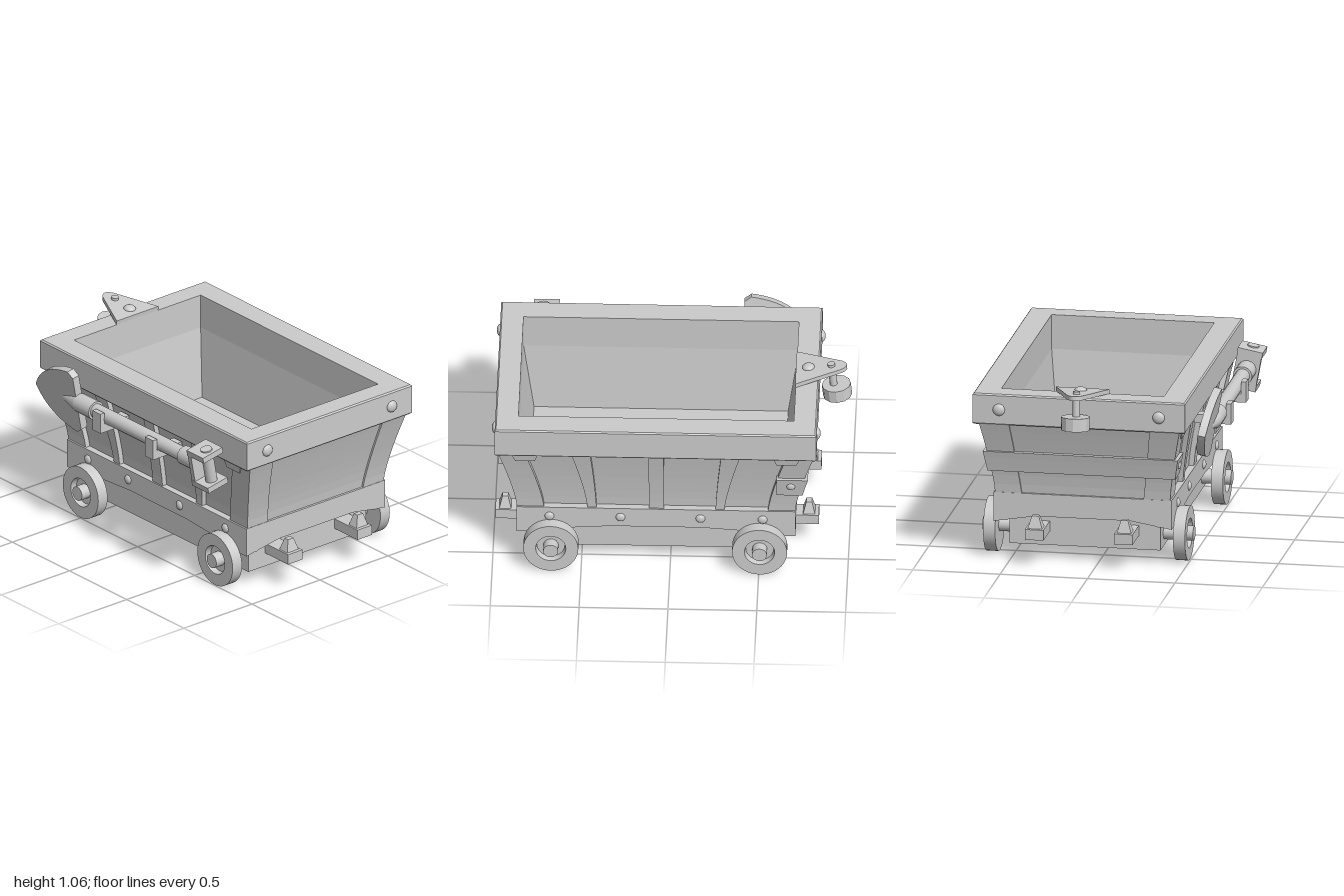
import * as THREE from 'three';

const mat = new THREE.MeshStandardMaterial({ color: 0xcccccc });
const flat = new THREE.MeshStandardMaterial({ color: 0xcccccc, flatShading: true });

function add(parent, name, geo, x = 0, y = 0, z = 0, m = mat) {
  const mesh = new THREE.Mesh(geo, m);
  mesh.name = name;
  mesh.position.set(x, y, z);
  parent.add(mesh);
  return mesh;
}
const box = (w, h, d) => new THREE.BoxGeometry(w, h, d);
const cyl = (r0, r1, h, n = 24) => new THREE.CylinderGeometry(r0, r1, h, n);
const dome = (r) => new THREE.SphereGeometry(r, 20, 8, 0, Math.PI * 2, 0, Math.PI / 2).scale(1, 0.6, 1);

// Skin of stacked rectangles, each [y, x0, x1, z0, z1]
function loft(rects, caps = true) {
  const pos = [];
  const rings = rects.map(([y, x0, x1, z0, z1]) => [[x1, y, z1], [x1, y, z0], [x0, y, z0], [x0, y, z1]]);
  const tri = (...pts) => pts.forEach((p) => pos.push(...p));
  for (let r = 0; r + 1 < rings.length; r++) {
    const a = rings[r], b = rings[r + 1];
    for (let i = 0; i < 4; i++) {
      const j = (i + 1) % 4;
      tri(a[i], a[j], b[j]);
      tri(a[i], b[j], b[i]);
    }
  }
  if (caps) {
    const a = rings[0], b = rings[rings.length - 1];
    tri(a[0], a[2], a[1]); tri(a[0], a[3], a[2]);
    tri(b[0], b[1], b[2]); tri(b[0], b[2], b[3]);
  }
  const g = new THREE.BufferGeometry();
  g.setAttribute('position', new THREE.Float32BufferAttribute(pos, 3));
  g.computeVertexNormals();
  return g;
}
const ring = (y, hx, hz) => [y, -hx, hx, -hz, hz];

// Flared wall: half width and half length at height y
const Y0 = 0.39, Y1 = 0.83;
const up = (y) => (y - Y0) / (Y1 - Y0);
const flare = (y) => Math.pow(Math.max(0, up(y)), 1.3);
const halfX = (y) => 0.47 + 0.075 * flare(y);
const halfZ = (y) => 0.77 + 0.112 * flare(y);
function levels(y0, y1, n, fn) {
  return Array.from({ length: n + 1 }, (_, i) => fn(y0 + (y1 - y0) * i / n));
}

// Board with an arched lower edge
function archedBoard(half, low, flatHalf, high, depth) {
  const s = new THREE.Shape();
  s.moveTo(-half, 0.395); s.lineTo(-half, low); s.lineTo(-flatHalf, high);
  s.lineTo(flatHalf, high); s.lineTo(half, low); s.lineTo(half, 0.395);
  return new THREE.ExtrudeGeometry(s, { depth, bevelEnabled: false });
}

function buildBody(cart) {
  // Tub with inner walls and floor
  add(cart, 'tub', loft([
    ...levels(Y0, Y1, 8, (y) => ring(y, halfX(y), halfZ(y))),
    ring(Y1, 0.465, 0.775), ring(0.8, 0.465, 0.775), ring(0.4, 0.425, 0.715),
  ]));
  // Heavy rim with a small bevel
  add(cart, 'rim', loft([
    ring(0.82, 0.465, 0.775), ring(0.82, 0.6, 0.897), ring(0.828, 0.607, 0.905), ring(0.992, 0.607, 0.905),
    ring(1, 0.6, 0.897), ring(1, 0.465, 0.775), ring(0.82, 0.465, 0.775),
  ], false));

  for (const sx of [1, -1]) {
    const span = (a, b) => (sx > 0 ? [a, b] : [-b, -a]);
    for (const sz of [1, -1]) {
      const spanZ = (a, b) => (sz > 0 ? [a, b] : [-b, -a]);
      // Corner posts, kept inside the wall thickness by two slabs
      add(cart, 'cornerPostSide', loft(levels(Y0, Y1, 8, (y) => [y,
        ...span(halfX(y) - 0.02, halfX(y) + 0.03), ...spanZ(halfZ(y) - 0.14, halfZ(y) + 0.012)])));
      add(cart, 'cornerPostEnd', loft(levels(Y0, Y1, 8, (y) => [y,
        ...span(0.348 + 0.055 * up(y), halfX(y) + 0.02), ...spanZ(halfZ(y) - 0.02, halfZ(y) + 0.012)])));
      // Tapered side ribs
      add(cart, 'sideRib', loft(levels(Y0, Y1, 8, (y) => [y,
        ...span(halfX(y) - 0.02, halfX(y) + 0.03),
        ...spanZ(0.335 + 0.035 * flare(y), 0.385 + 0.095 * flare(y))])));
      // Brackets under the rim
      add(cart, 'rimBracket', loft([
        [0.76, ...span(0.53, 0.567), ...spanZ(0.68, 0.79)],
        [0.825, ...span(0.53, 0.58), ...spanZ(0.66, 0.82)],
      ]));
      // Rim bolts
      add(cart, 'rimBolt', dome(0.035), sx * 0.457, 0.91, sz * 0.904).rotation.x = sz * Math.PI / 2;
    }
    add(cart, 'middleRib', loft(levels(Y0, Y1, 8, (y) => [y,
      ...span(halfX(y) - 0.02, halfX(y) + 0.03), -0.045, 0.04])));
    // Rear strap returns
    add(cart, 'strapReturn', loft(levels(0.53, 0.65, 3, (y) => [y,
      ...span(halfX(y) - 0.02, halfX(y) + 0.05), -halfZ(y) - 0.03, -0.68])));
    add(cart, 'strapBolt', dome(0.025), sx * (halfX(0.59) + 0.048), 0.6, -0.76).rotation.z = -sx * Math.PI / 2;
  }
  add(cart, 'rearStrap', loft(levels(0.53, 0.65, 3, (y) => [y,
    -halfX(y) - 0.05, halfX(y) + 0.05, -halfZ(y) - 0.03, -halfZ(y) + 0.01])));
}

function buildChassis(cart) {
  add(cart, 'chassis', box(0.864, 0.31, 1.42), 0, 0.235, 0);
  for (const s of [1, -1]) {
    // Arched frame boards
    const end = add(cart, 'frameEnd', archedBoard(0.51, 0.225, 0.27, 0.265, 0.08), 0, 0, s * 0.705);
    const side = add(cart, 'frameSide', archedBoard(0.785, 0.235, 0.25, 0.272, 0.08), s * 0.43, 0, 0);
    end.rotation.y = s > 0 ? 0 : Math.PI;
    side.rotation.y = s * Math.PI / 2;
    for (const z of [-0.6, -0.25, 0.2, 0.6]) {
      add(cart, 'frameBolt', dome(0.027), s * 0.509, 0.335, z).rotation.z = -s * Math.PI / 2;
    }
    // Buffers with tapered posts
    for (const x of [-0.256, 0.254]) {
      add(cart, 'buffer', box(0.106, 0.06, 0.25), x, 0.19, s * 0.785);
      add(cart, 'bufferPost', loft([
        [0.215, x - 0.043, x + 0.043, s * 0.855 - 0.035, s * 0.855 + 0.035],
        [0.29, x - 0.02, x + 0.02, s * 0.855 - 0.016, s * 0.855 + 0.016],
      ]));
    }
  }
}

function buildWheels(cart) {
  // Tyre with a recessed disc
  const profile = [[0, -0.033], [0.155, -0.033], [0.155, 0.035], [0.085, 0.035], [0.078, 0], [0, 0]];
  const pts = profile.flatMap(([r, y], i) => (i > 0 && i < 5 ? [[r, y], [r, y]] : [[r, y]]))
    .map(([r, y]) => new THREE.Vector2(r, y));
  const wheelGeo = new THREE.LatheGeometry(pts, 40);
  for (const z of [0.59, -0.585]) {
    for (const s of [1, -1]) {
      const wheel = new THREE.Group();
      wheel.name = 'wheel';
      wheel.position.set(s * 0.542, 0.155, z);
      wheel.rotation.z = -s * Math.PI / 2;
      add(wheel, 'tyre', wheelGeo);
      add(wheel, 'axle', cyl(0.042, 0.042, 0.22), 0, -0.05, 0);
      cart.add(wheel);
    }
  }
}

// Triangular hitch plate with a hanging weight
function buildHitch(cart) {
  const hitch = new THREE.Group();
  hitch.name = 'hitch';
  hitch.position.set(0, 1.0, -0.775);
  hitch.rotation.x = 0.1;
  const s = new THREE.Shape();
  s.moveTo(-0.153, 0); s.lineTo(0.153, 0); s.lineTo(0.04, 0.26);
  s.quadraticCurveTo(0, 0.315, -0.04, 0.26);
  const plate = new THREE.ExtrudeGeometry(s, { depth: 0.025, bevelEnabled: false }).rotateX(-Math.PI / 2);
  add(hitch, 'hitchPlate', plate);
  add(hitch, 'hitchBolt', dome(0.035), 0, 0.024, -0.07);
  add(hitch, 'hitchPin', cyl(0.021, 0.021, 0.17, 16), 0, -0.045, -0.2);
  add(hitch, 'hitchWeight', cyl(0.082, 0.082, 0.075, 12), 0, -0.14, -0.215, flat);
  cart.add(hitch);
}

// Shovel hung along the right side
function buildShovel(root) {
  const shovel = new THREE.Group();
  shovel.name = 'shovel';
  shovel.position.set(-0.603, 0.79, 0);
  shovel.rotation.z = 0.185;
  const rod = (name, r0, r1, z0, z1) =>
    add(shovel, name, cyl(r1, r0, z1 - z0, 16), 0, 0, (z0 + z1) / 2).rotation.x = Math.PI / 2;
  rod('shaft', 0.042, 0.042, -0.3, 0.67);
  rod('bladeSocket', 0.055, 0.055, -0.38, -0.24);
  rod('bladeNeck', 0.012, 0.055, -0.56, -0.38);
  rod('handleSocket', 0.055, 0.055, 0.53, 0.67);
  const s = new THREE.Shape();
  s.moveTo(0.38, -0.17); s.lineTo(0.38, 0.17); s.lineTo(0.42, 0.2);
  s.quadraticCurveTo(0.66, 0.17, 0.74, 0);
  s.quadraticCurveTo(0.66, -0.17, 0.42, -0.2);
  const blade = new THREE.ExtrudeGeometry(s, { depth: 0.045, bevelEnabled: false })
    .translate(0, 0, -0.0225).rotateY(Math.PI / 2);
  add(shovel, 'blade', blade);
  // Grip fork with cross pin
  add(shovel, 'gripBase', box(0.14, 0.23, 0.03), 0, 0, 0.675);
  for (const v of [1, -1]) add(shovel, 'gripFork', box(0.145, 0.035, 0.145), 0, v * 0.1, 0.732);
  add(shovel, 'gripPin', cyl(0.034, 0.034, 0.25), 0, 0, 0.75);
  root.add(shovel);
  // Wall brackets
  for (const z of [-0.155, 0.305]) {
    add(root, 'shovelBracket', box(0.17, 0.05, 0.07), -0.545, 0.735, z);
    add(root, 'bracketLip', box(0.03, 0.12, 0.07), -0.657, 0.77, z);
    add(root, 'bracketFoot', box(0.05, 0.05, 0.07), -0.645, 0.735, z);
  }
}

export function createModel() {
  const root = new THREE.Group();
  root.name = 'mineCart';
  const cart = new THREE.Group();
  cart.name = 'cart';
  cart.position.set(0.083, 0, 0.08);
  buildBody(cart);
  buildChassis(cart);
  buildWheels(cart);
  buildHitch(cart);
  root.add(cart);
  buildShovel(root);
  return root;
}
